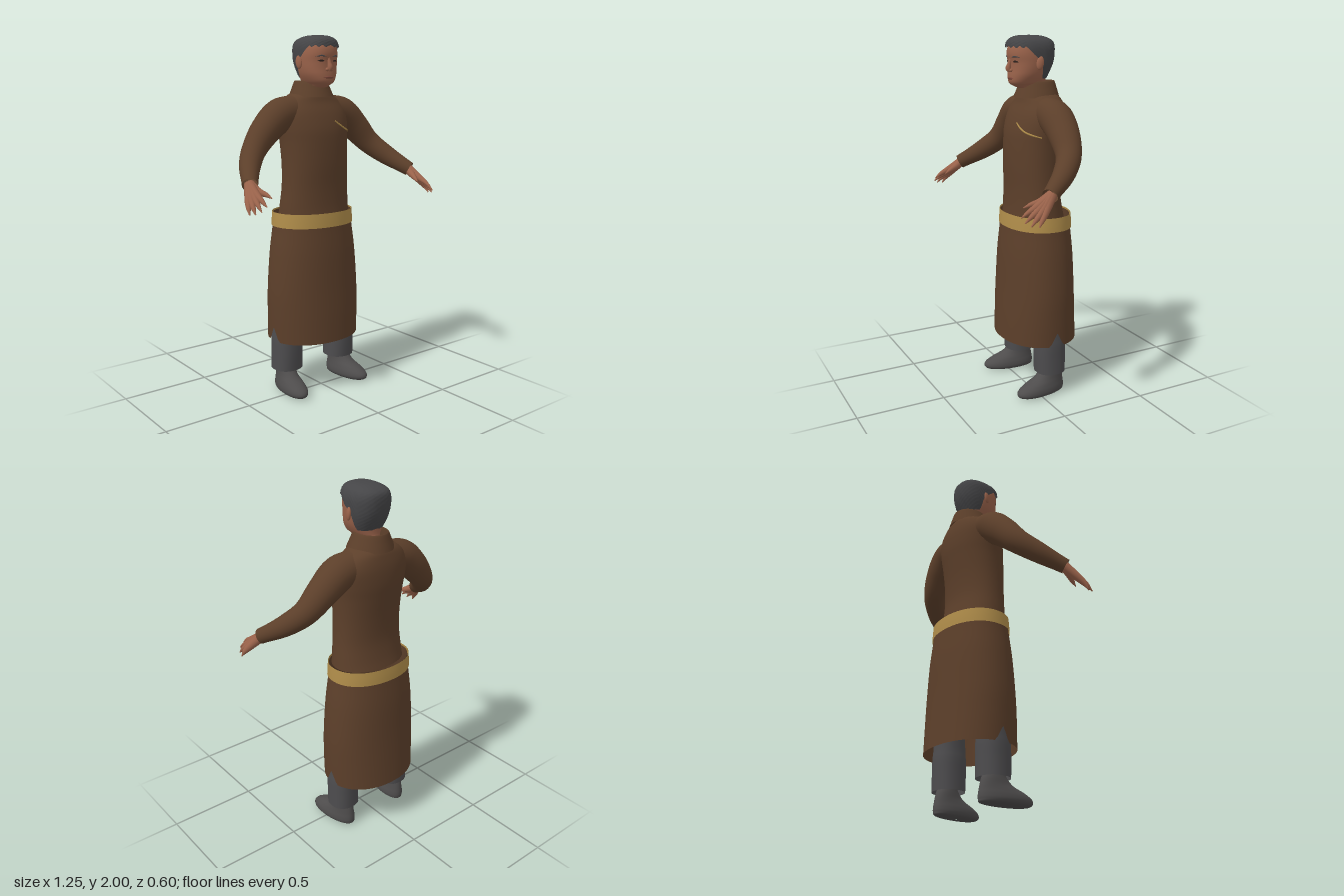
import * as THREE from 'three';

const mat = (name, color, side = THREE.FrontSide) => {
  const m = new THREE.MeshStandardMaterial({ color, side });
  m.name = name;
  return m;
};

// Cross-section rings are [y, halfWidth, zFront, zBack], joined by a smooth spline.
function profile(rings) {
  const a = new THREE.SplineCurve(rings.map(r => new THREE.Vector2(r[0], r[1])));
  const b = new THREE.SplineCurve(rings.map(r => new THREE.Vector2(r[2], r[3])));
  const at = t => {
    const p = a.getPoint(t), q = b.getPoint(t);
    return { y: p.x, rx: p.y, cz: (q.x + q.y) / 2, rz: (q.x - q.y) / 2 };
  };
  const find = y => {
    let lo = 0, hi = 1;
    for (let i = 0; i < 24; i++) {
      const mid = (lo + hi) / 2;
      if (at(mid).y < y) lo = mid; else hi = mid;
    }
    return lo;
  };
  return { at, find };
}

// Closed skin through the rings; low(angle) may give an uneven lower edge.
function loft(rings, { n = 48, rows = 36, power = 2, low = null, ripple = null } = {}) {
  const p = profile(rings), pos = [], index = [];
  const bend = c => Math.sign(c) * Math.abs(c) ** (2 / power);
  const starts = Array.from({ length: n }, (_, i) => low ? p.find(low(i / n * Math.PI * 2)) : 0);
  for (let j = 0; j <= rows; j++) for (let i = 0; i < n; i++) {
    const th = i / n * Math.PI * 2;
    const t = starts[i] + (1 - starts[i]) * j / rows;
    const s = p.at(t), k = ripple ? 1 + ripple(th, t) : 1;
    pos.push(s.rx * k * bend(Math.cos(th)), s.y, s.cz + s.rz * k * bend(Math.sin(th)));
    if (j < rows) {
      const a = j * n + i, b = j * n + (i + 1) % n;
      index.push(a, a + n, b, b, a + n, b + n);
    }
  }
  const g = new THREE.BufferGeometry();
  g.setAttribute('position', new THREE.Float32BufferAttribute(pos, 3));
  g.setIndex(index);
  g.computeVertexNormals();
  return g;
}

// Front z of a lofted skin at a given x and y
function frontZ(rings, x, y, power = 2) {
  const p = profile(rings), s = p.at(p.find(y));
  return s.cz + s.rz * Math.max(0, 1 - Math.abs(x / s.rx) ** power) ** (1 / power);
}

// Round tube whose radius changes along its path
function taperedTube(points, radii, segs = 24, sides = 12) {
  const curve = new THREE.CatmullRomCurve3(points.map(p => new THREE.Vector3(...p)));
  const rad = new THREE.SplineCurve(radii.map((r, i) => new THREE.Vector2(i, r)));
  const g = new THREE.TubeGeometry(curve, segs, 1, sides), pos = g.attributes.position;
  const v = new THREE.Vector3();
  for (let i = 0; i <= segs; i++) {
    const c = curve.getPointAt(i / segs), r = rad.getPoint(curve.getUtoTmapping(i / segs)).y;
    for (let j = 0; j <= sides; j++) {
      const k = i * (sides + 1) + j;
      v.fromBufferAttribute(pos, k).sub(c).multiplyScalar(r).add(c);
      pos.setXYZ(k, v.x, v.y, v.z);
    }
  }
  return g;
}

export function createModel() {
  const root = new THREE.Group();
  const D = THREE.DoubleSide;
  const robe = mat('brown robe', 0x5c3f2a, D), gold = mat('gold trim', 0xb08d4a, D);
  const skin = mat('skin', 0x99624a), hairMat = mat('dark hair', 0x454547, D);
  const grey = mat('grey trousers', 0x4d4c4e, D), shoeMat = mat('shoe leather', 0x4e4c4c);
  const lipMat = mat('lips', 0x7d493b), dark = mat('eye line', 0x2c211d);
  const add = (name, geo, m, parent = root) => {
    const o = new THREE.Mesh(geo, m);
    o.name = name;
    parent.add(o);
    return o;
  };

  // Robe: upper body
  const torso = [
    [1.02, .214, .083, -.222], [1.08, .21, .078, -.208], [1.18, .202, .076, -.195], [1.3, .199, .08, -.2],
    [1.42, .203, .078, -.215], [1.5, .212, .07, -.225], [1.58, .215, .045, -.225],
    [1.64, .185, .015, -.215], [1.68, .13, 0, -.2], [1.705, .07, -.03, -.16]];
  add('robeTorso', loft(torso, { power: 2.2 }), robe);

  // Robe: skirt with a notch at each side
  const skirt = [
    [.3, .272, .135, -.3], [.45, .277, .13, -.291], [.6, .277, .122, -.283],
    [.8, .262, .112, -.275], [.95, .242, .098, -.262], [1.03, .236, .093, -.256]];
  const notch = th => .3 + .08 * Math.max(0, 1 - Math.abs(Math.sin(th)) / .17);
  add('robeSkirt', loft(skirt, { n: 96, power: 2.15, low: notch }), robe);

  // Belt
  add('belt', loft([[.957, .248, .103, -.267], [.995, .246, .101, -.266], [1.036, .243, .098, -.263]],
    { power: 2.15, rows: 6 }), gold);

  // Folded collar
  add('collar', loft([[1.67, .126, .036, -.216], [1.715, .106, .018, -.204], [1.757, .086, 0, -.191],
    [1.74, .08, -.004, -.184], [1.68, .078, -.006, -.18]], { rows: 24 }), robe);

  // Slanted piping on the chest
  const piping = [[.05, 1.54], [.085, 1.518], [.125, 1.497], [.165, 1.483], [.197, 1.47]]
    .map(([x, y]) => [x, y, frontZ(torso, x, y, 2.2)]);
  add('chestPiping', taperedTube(piping, [.004, .005, .005, .005, .004], 30, 6), gold);

  // Head and neck
  const head = [
    [1.62, .062, -.02, -.145], [1.7, .06, -.015, -.142], [1.732, .058, .045, -.138], [1.75, .074, .07, -.135],
    [1.785, .093, .073, -.136], [1.82, .102, .07, -.142], [1.86, .106, .07, -.155],
    [1.9, .106, .077, -.163], [1.94, .099, .07, -.162], [1.97, .078, .045, -.14], [1.982, .004, -.05, -.056]];
  const hp = 2.25;
  add('head', loft(head, { power: hp }), skin);
  const faceZ = (x, y) => frontZ(head, x, y, hp);

  // Short hair: low at the nape, sideburns before the ears, high on the brow
  const hair = [
    [1.765, .085, .06, -.13], [1.8, .099, .075, -.148], [1.84, .108, .078, -.166], [1.88, .112, .081, -.177],
    [1.93, .112, .083, -.181], [1.965, .099, .077, -.174], [1.985, .076, .058, -.145],
    [1.997, .045, .02, -.1], [2, .003, -.04, -.046]];
  const hairline = th => {
    const s = Math.sin(th);
    if (s > .45) return 1.938 + .006 * Math.sin(th * 17);
    if (s > -.05) return 1.87 + .068 * (s + .05) / .5;
    return Math.max(1.772, 1.87 + (s + .05) * .3);
  };
  add('hair', loft(hair, {
    n: 72, power: 2.5, low: hairline,
    ripple: (th, t) => .012 * Math.sin(th * 18 + t * 40) * Math.sin(t * 60)
  }), hairMat);

  // Face
  add('nose', taperedTube([[0, 1.878, .066], [0, 1.85, .074], [0, 1.825, .08], [0, 1.808, .072]],
    [.008, .011, .016, .006]), skin);
  const faceLine = (x0, x1, y, arch) => [0, .25, .5, .75, 1].map(k => {
    const x = x0 + (x1 - x0) * k, yy = y + arch * Math.sin(k * Math.PI);
    return [x, yy, faceZ(x, yy) - .001];
  });
  add('mouth', taperedTube(faceLine(-.034, .034, 1.772, .003), [.001, .006, .007, .006, .001]), lipMat);
  for (const s of [1, -1]) {
    const side = s > 0 ? 'left' : 'right';
    add(side + 'Eye', taperedTube(faceLine(s * .026, s * .064, 1.86, .003), [.001, .004, .005, .004, .001]), dark);
    add(side + 'Eyebrow', taperedTube(faceLine(s * .02, s * .074, 1.882, .007), [.001, .003, .004, .003, .001]), hairMat);
    const nostril = add(side + 'Nostril', new THREE.SphereGeometry(.01, 12, 8), skin);
    nostril.position.set(s * .014, 1.816, .072);
    const ear = add(side + 'Ear', new THREE.SphereGeometry(1, 16, 12), skin);
    ear.scale.set(.011, .036, .02);
    ear.position.set(s * .112, 1.855, -.052);
    ear.rotation.set(-.15, s * -.3, 0);

    // Sleeve
    const mx = pts => pts.map(([x, y, z]) => [s * x, y, z]);
    add(side + 'Sleeve', taperedTube(
      mx([[.12, 1.595, -.092], [.215, 1.57, -.09], [.31, 1.495, -.085], [.4, 1.4, -.06], [.475, 1.325, .012], [.555, 1.243, .135]]),
      [.085, .093, .083, .067, .057, .041], 40, 24), robe);

    // Hand: each finger runs from the wrist through its knuckle
    const hand = new THREE.Group();
    hand.name = side + 'Hand';
    root.add(hand);
    const fingers = {
      thumb: [[.535, 1.215, .18], [.515, 1.2, .222], [.503, 1.185, .256]],
      indexFinger: [[.562, 1.197, .215], [.564, 1.175, .262], [.562, 1.152, .298]],
      middleFinger: [[.576, 1.186, .21], [.586, 1.158, .256], [.59, 1.13, .293]],
      ringFinger: [[.59, 1.175, .203], [.604, 1.144, .24], [.609, 1.115, .268]],
      littleFinger: [[.6, 1.168, .19], [.614, 1.138, .213], [.62, 1.11, .23]]
    };
    for (const [name, pts] of Object.entries(fingers))
      add(name, taperedTube(mx([[.552, 1.246, .125], ...pts]), [.027, .019, .012, .003]), skin, hand);

    // Trouser leg
    const leg = add(side + 'TrouserLeg', loft([[.13, .086, .006, -.165], [.22, .085, .01, -.166],
      [.3, .084, .01, -.166], [.4, .078, .006, -.16], [.75, .07, 0, -.15]], { n: 32, power: 2.3 }), grey);
    leg.position.x = s * .189;

    // Shoe
    const shoe = add(side + 'Shoe', loft([[0, .003, -.01, -.016], [.004, .05, .105, -.15], [.02, .066, .138, -.166],
      [.045, .066, .132, -.167], [.07, .059, .09, -.163], [.095, .052, .03, -.158],
      [.125, .048, -.005, -.15], [.15, .044, -.02, -.14]], { n: 32, rows: 28, power: 2.1 }), shoeMat);
    shoe.position.x = s * .207;
    shoe.rotation.y = s * .13;
  }
  return root;
}
